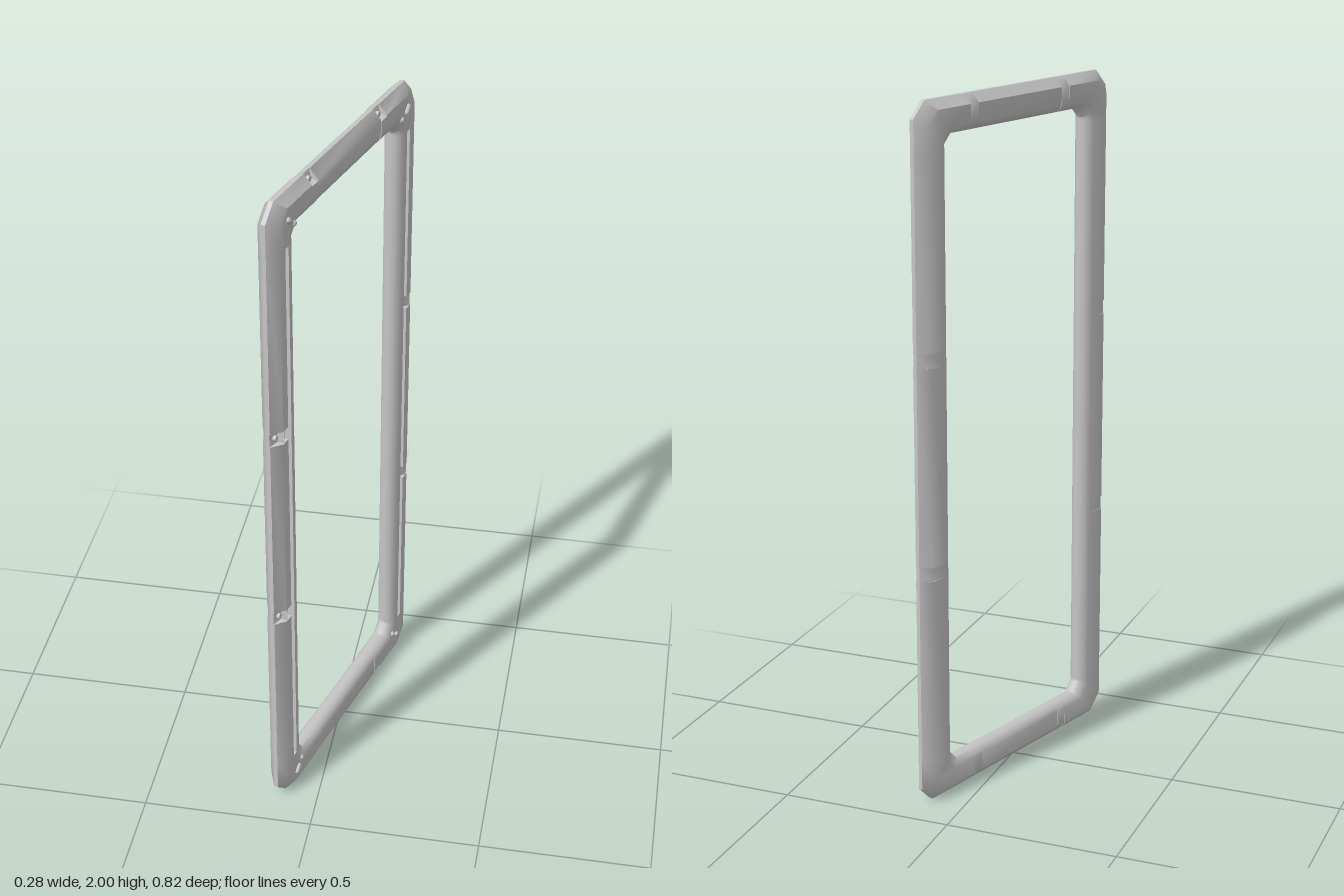
import * as THREE from 'three';
import { toCreasedNormals } from 'three/addons/utils/BufferGeometryUtils.js';

const HALF_W = 0.426, HALF_H = 1, BAR = 0.116;
const RAIL = 0.1 / BAR; // rails are slightly narrower than uprights

// Bar cross-section as [distance in from the outer edge, depth], outer edge -> front -> inner edge -> back
function profile({ groove = false, notch = false, slim = false } = {}) {
  const floor = groove ? 0.011 : 0.031;
  const p = [
    [0, 0.006], [0.03, 0.031], [0.057, 0.031], [0.057, floor], [0.075, floor], [0.075, 0.031],
    [0.088, 0.03], [0.103, 0.024], [0.112, 0.014], [BAR, 0], [0.112, -0.014], [0.103, -0.024],
    [0.088, -0.031], [0.03, -0.032], [0, -0.006],
  ];
  if (notch) {
    p[0] = [0, 0.004];
    p[1] = [0.033, 0.01];
    p[2] = [0.035, 0.031];
    p[13] = [0.03, -0.03];
  }
  return slim ? p.map(([d, n]) => [d, n * 0.94]) : p;
}

// Stations place a cross-section along one quarter of the frame
const chamfer = d => 0.045 - 0.017 * d / BAR;
const upright = (y, opts) => ({ at: d => [HALF_W - d, y], prof: profile(opts) });
const rail = (x, opts) => ({ at: d => [x, HALF_H - d * RAIL], prof: profile(opts) });
const quarter = [
  upright(0.285, { groove: true }),
  upright(0.285, { groove: true, notch: true }),
  upright(0.325, { groove: true, notch: true }),
  upright(0.325, { groove: true }),
  upright(0.865, { groove: true }),
  upright(0.865),
  { at: d => [HALF_W - d, HALF_H - d * RAIL - chamfer(d)], prof: profile() },
  { at: d => [HALF_W - d - chamfer(d), HALF_H - d * RAIL], prof: profile() },
  rail(0.22),
  rail(0.22, { notch: true }),
  rail(0.185, { notch: true }),
  rail(0.185, { slim: true }),
];

function frameGeometry() {
  // Mirror the quarter around the whole frame, counterclockwise
  const rings = [];
  for (const [sx, sy] of [[1, 1], [-1, 1], [-1, -1], [1, -1]]) {
    const list = sx * sy > 0 ? quarter : [...quarter].reverse();
    for (const s of list) {
      rings.push(s.prof.map(([d, n]) => {
        const [x, y] = s.at(d);
        return new THREE.Vector3(sx * x, sy * y, n);
      }));
    }
  }
  const pos = [];
  const tri = new THREE.Triangle();
  const add = (a, b, c) => {
    if (tri.set(a, b, c).getArea() > 1e-9) for (const v of [a, b, c]) pos.push(v.x, v.y, v.z);
  };
  rings.forEach((r, i) => {
    const q = rings[(i + 1) % rings.length];
    for (let j = 0; j < r.length; j++) {
      const k = (j + 1) % r.length;
      add(r[j], q[j], q[k]);
      add(r[j], q[k], r[k]);
    }
  });
  const g = new THREE.BufferGeometry();
  g.setAttribute('position', new THREE.Float32BufferAttribute(pos, 3));
  return toCreasedNormals(g, 0.75);
}

export function createModel() {
  const grey = new THREE.MeshStandardMaterial({ color: 0xc6c6c6 });
  grey.name = 'light grey metal';
  const model = new THREE.Group();
  model.name = 'doorFrame';
  const body = new THREE.Group();
  body.name = 'frameAssembly';
  model.add(body);

  const add = (name, geo, x, y, z, rz = 0, rx = 0) => {
    const m = new THREE.Mesh(geo, grey);
    m.name = name;
    m.position.set(x, y, z);
    m.rotation.set(rx, 0, rz);
    body.add(m);
  };
  add('frame', frameGeometry(), 0, 0, 0);

  const lug = new THREE.CapsuleGeometry(0.008, 0.018, 4, 10);
  const stud = new THREE.SphereGeometry(0.009, 12, 8);
  const screw = new THREE.CylinderGeometry(0.008, 0.008, 0.012, 12);
  for (const sx of [1, -1]) {
    for (const sy of [1, -1]) {
      // Corner fasteners on the front face
      add('cornerLug', lug, sx * 0.346, sy * 0.934, 0.032, -sx * sy * Math.PI / 4);
      add('cornerStud', stud, sx * 0.318, sy * 0.914, 0.028);
      // Screws sitting in the edge notches
      add('sideScrew', screw, sx * (HALF_W - 0.02), sy * 0.305, 0.01, 0, Math.PI / 2);
      add('railScrew', screw, sx * 0.2025, sy * (HALF_H - 0.02), 0.01, 0, Math.PI / 2);
    }
  }

  // Turn the frame to its resting angle and stand it on the ground
  body.rotation.y = THREE.MathUtils.degToRad(73.6);
  body.position.y = HALF_H;
  return model;
}
